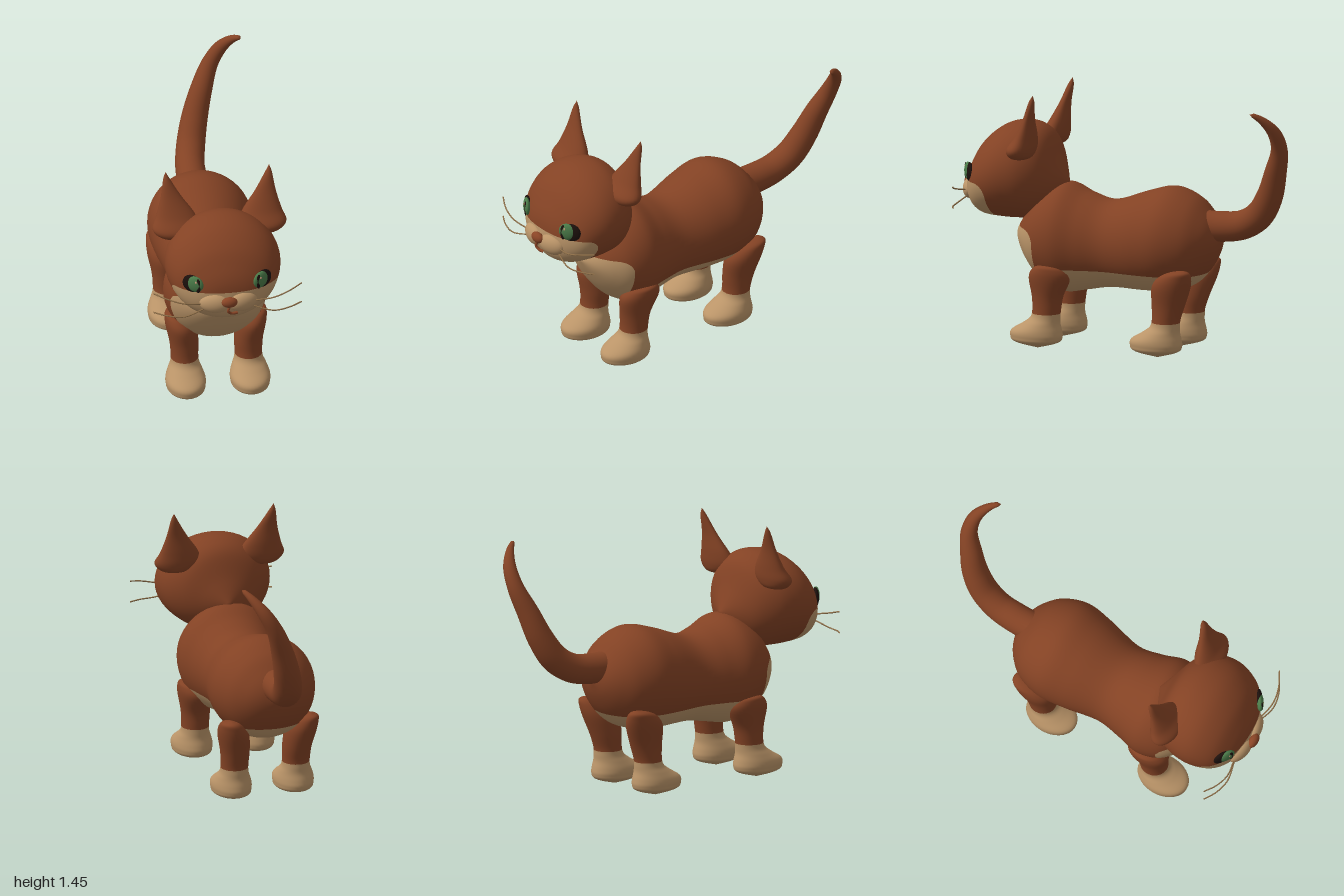
import * as THREE from 'three';
import { mergeVertices } from 'three/addons/utils/BufferGeometryUtils.js';

const material = (name, color) => {
  const m = new THREE.MeshStandardMaterial({ color });
  m.name = name;
  return m;
};

// Smooth elliptical loft. Each ring is [position on axis, x0, x1, b0, b1],
// where b is y for a loft along z, and z for a loft along y.
function loft(axis, rings, mirror = 1, steps = 64, sides = 48) {
  const r = rings.map(([p, a0, a1, b0, b1]) => (mirror > 0 ? [p, a0, a1, b0, b1] : [p, -a1, -a0, b0, b1]));
  const spline = (i, j) =>
    new THREE.CatmullRomCurve3(r.map((q) => new THREE.Vector3(q[0], q[i], q[j])), false, 'catmullrom', 0.5);
  const across = spline(1, 2), other = spline(3, 4);
  const pos = [], index = [];
  for (let i = 0; i <= steps; i++) {
    const A = across.getPoint(i / steps), B = other.getPoint(i / steps);
    const ca = (A.y + A.z) / 2, ra = Math.max(0, (A.z - A.y) / 2);
    const cb = (B.y + B.z) / 2, rb = Math.max(0, (B.z - B.y) / 2);
    for (let j = 0; j < sides; j++) {
      const t = (j / sides) * Math.PI * 2;
      const x = ca + ra * Math.cos(t);
      if (axis === 'z') pos.push(x, cb + rb * Math.sin(t), A.x);
      else pos.push(x, A.x, cb - rb * Math.sin(t));
      if (i < steps) {
        const a = i * sides + j, b = i * sides + ((j + 1) % sides);
        index.push(a, b, a + sides, b, b + sides, a + sides);
      }
    }
  }
  let g = new THREE.BufferGeometry();
  g.setAttribute('position', new THREE.Float32BufferAttribute(pos, 3));
  g.setIndex(index);
  g = mergeVertices(g, 1e-5);
  g.computeVertexNormals();
  return g;
}

// Cuts a surface along f = 0 and returns the parts [f > 0, f < 0].
function split(geometry, f) {
  const g = geometry.toNonIndexed();
  const P = g.attributes.position, N = g.attributes.normal;
  return [1, -1].map((sign) => {
    const pos = [], nor = [];
    for (let i = 0; i < P.count; i += 3) {
      const tri = [0, 1, 2].map((k) => {
        const p = new THREE.Vector3().fromBufferAttribute(P, i + k);
        return { p, n: new THREE.Vector3().fromBufferAttribute(N, i + k), d: sign * f(p) };
      });
      const poly = [];
      tri.forEach((a, k) => {
        const b = tri[(k + 1) % 3];
        if (a.d >= 0) poly.push(a);
        if (a.d >= 0 !== b.d >= 0) {
          const t = a.d / (a.d - b.d);
          poly.push({ p: a.p.clone().lerp(b.p, t), n: a.n.clone().lerp(b.n, t).normalize() });
        }
      });
      for (let k = 1; k + 1 < poly.length; k++)
        for (const v of [poly[0], poly[k], poly[k + 1]]) {
          pos.push(v.p.x, v.p.y, v.p.z);
          nor.push(v.n.x, v.n.y, v.n.z);
        }
    }
    const out = new THREE.BufferGeometry();
    out.setAttribute('position', new THREE.Float32BufferAttribute(pos, 3));
    out.setAttribute('normal', new THREE.Float32BufferAttribute(nor, 3));
    return out;
  });
}

export function createModel() {
  const model = new THREE.Group();
  model.name = 'cat';
  const fur = material('brown fur', 0x834224);
  const cream = material('tan fur', 0xba9468);
  const noseMat = material('nose brown', 0x8a4526);
  const green = material('eye green', 0x4a7a48);
  const black = material('eye black', 0x1c100c);
  const glint = material('eye glint', 0xc89a78);
  const hair = material('whisker brown', 0x8f6f48);

  const add = (name, geometry, mat) => {
    const m = new THREE.Mesh(geometry, mat);
    m.name = name;
    model.add(m);
    return m;
  };
  const twoTone = (name, paleName, geometry, f) => {
    const [brown, pale] = split(geometry, f);
    add(name, brown, fur);
    add(paleName, pale, cream);
  };
  const ball = (name, mat, [x, y, z], [rx, ry, rz], turn = 0) => {
    const m = add(name, new THREE.SphereGeometry(1, 32, 20), mat);
    m.position.set(x, y, z);
    m.scale.set(rx, ry, rz);
    m.rotation.y = turn;
  };
  const tube = (name, mat, points, radius) =>
    add(name, new THREE.TubeGeometry(
      new THREE.CatmullRomCurve3(points.map((p) => new THREE.Vector3(...p))), 20, radius, 8), mat);
  // Symmetric ring: z, half width, bottom, top
  const ring = ([z, w, y0, y1]) => [z, -w, w, y0, y1];
  // Distance to a rounded corner: negative below y and in front of z
  const patch = (p, y, z, r) => Math.hypot(Math.max(p.y - y + r, 0), Math.max(z + r - p.z, 0)) - r;

  // Body with pale belly and chest
  const body = loft('z', [
    [-0.535, 0, 0.65, 0.65], [-0.51, 0.11, 0.56, 0.74], [-0.46, 0.19, 0.47, 0.815],
    [-0.38, 0.255, 0.39, 0.89], [-0.25, 0.292, 0.35, 0.935], [-0.1, 0.275, 0.34, 0.9],
    [0.1, 0.235, 0.343, 0.835], [0.25, 0.258, 0.318, 0.865], [0.38, 0.29, 0.3, 0.915],
    [0.5, 0.265, 0.355, 0.87], [0.58, 0.2, 0.445, 0.78], [0.64, 0.11, 0.545, 0.69],
    [0.68, 0, 0.63, 0.63],
  ].map(ring), 1, 72);
  twoTone('body', 'bellyAndChest', body, (p) => Math.min(p.y - 0.46, patch(p, 0.67, 0.495, 0.07)));

  // Head with pale lower face
  const head = loft('z', [
    [0.37, 0, 0.91, 0.91], [0.43, 0.13, 0.81, 1.04], [0.49, 0.23, 0.745, 1.18],
    [0.57, 0.295, 0.705, 1.235], [0.66, 0.32, 0.697, 1.242], [0.75, 0.315, 0.698, 1.215],
    [0.84, 0.275, 0.705, 1.145], [0.9, 0.205, 0.735, 1.055], [0.935, 0.12, 0.795, 0.975],
    [0.95, 0, 0.885, 0.885],
  ].map(ring), 1, 72);
  twoTone('head', 'lowerFace', head, (p) => patch(p, 0.92, 0.77, 0.07));

  // Lower leg, shared by all four
  const foot = [
    [0, 0.18, 0.18, 0.49, 0.49], [0.035, 0.085, 0.275, 0.37, 0.625],
    [0.065, 0.07, 0.291, 0.347, 0.648], [0.1, 0.07, 0.291, 0.35, 0.64],
    [0.14, 0.085, 0.275, 0.36, 0.575], [0.175, 0.099, 0.259, 0.36, 0.53],
    [0.22, 0.102, 0.256, 0.356, 0.517],
  ];
  const frontTop = [
    [0.3, 0.1, 0.262, 0.34, 0.52], [0.4, 0.11, 0.282, 0.292, 0.533],
    [0.45, 0.14, 0.285, 0.305, 0.51], [0.475, 0.18, 0.275, 0.345, 0.47], [0.485, 0.23, 0.23, 0.41, 0.41],
  ];
  const backTop = [
    [0.3, 0.1, 0.262, -0.39, -0.2], [0.4, 0.11, 0.282, -0.428, -0.205],
    [0.46, 0.14, 0.285, -0.44, -0.25], [0.495, 0.18, 0.275, -0.435, -0.32], [0.51, 0.23, 0.23, -0.4, -0.4],
  ];
  const backFoot = foot.map(([y, a, b, c, d]) => [y, a, b, c - 0.718, d - 0.718]);

  for (const s of [1, -1]) {
    const side = s > 0 ? 'left' : 'right';

    // Legs and paws
    for (const [end, rings] of [['Front', [...foot, ...frontTop]], ['Back', [...backFoot, ...backTop]]])
      twoTone(`${side}${end}Leg`, `${side}${end}Paw`, loft('y', rings, s, 55, 36), (p) => p.y - 0.2);

    // Ear
    add(`${side}Ear`, loft('y', [
      [1.07, 0.265, 0.265, 0.56, 0.56], [1.085, 0.17, 0.335, 0.505, 0.62],
      [1.13, 0.11, 0.375, 0.485, 0.637], [1.2, 0.135, 0.35, 0.48, 0.59],
      [1.3, 0.205, 0.322, 0.48, 0.54], [1.4, 0.265, 0.305, 0.468, 0.502],
      [1.445, 0.29, 0.29, 0.475, 0.475],
    ], s, 42, 32), fur);

    // Eye
    const turn = 0.55 * s;
    ball(`${side}EyeRim`, black, [0.2 * s, 0.965, 0.89], [0.055, 0.055, 0.02], turn);
    ball(`${side}Iris`, green, [0.184 * s, 0.97, 0.907], [0.05, 0.05, 0.02], turn);
    ball(`${side}Pupil`, black, [0.17 * s, 0.968, 0.927], [0.016, 0.045, 0.007], turn);
    ball(`${side}EyeGlint`, glint, [0.182 * s, 0.99, 0.926], [0.007, 0.009, 0.004], turn);

    // Muzzle and whiskers
    ball(`${side}Muzzle`, cream, [0.08 * s, 0.853, 0.935], [0.084, 0.058, 0.042], 0.25 * s);
    tube(`${side}UpperWhisker`, hair,
      [[0.13 * s, 0.85, 0.93], [0.25 * s, 0.875, 0.953], [0.34 * s, 0.9, 0.935], [0.415 * s, 0.92, 0.895]], 0.004);
    tube(`${side}LowerWhisker`, hair,
      [[0.13 * s, 0.82, 0.93], [0.25 * s, 0.79, 0.953], [0.34 * s, 0.792, 0.935], [0.415 * s, 0.797, 0.895]], 0.004);
  }

  // Nose and mouth
  ball('nose', noseMat, [0, 0.876, 0.974], [0.045, 0.031, 0.026]);
  tube('mouth', noseMat,
    [[0, 0.85, 0.975], [-0.008, 0.822, 0.978], [0.01, 0.803, 0.972], [0.045, 0.801, 0.965]], 0.008);

  // Tapered tail: x, y, z, radius
  const tailPoints = [
    [0, 0.73, -0.42, 0.085], [0, 0.73, -0.55, 0.085], [0.005, 0.75, -0.67, 0.082],
    [0.025, 0.815, -0.775, 0.08], [0.055, 0.93, -0.85, 0.074], [0.1, 1.08, -0.905, 0.062],
    [0.155, 1.22, -0.95, 0.047], [0.215, 1.325, -0.945, 0.037], [0.275, 1.405, -0.895, 0.022],
    [0.31, 1.44, -0.845, 0.01], [0.313, 1.441, -0.838, 0],
  ];
  const path = new THREE.CatmullRomCurve3(tailPoints.map(([x, y, z]) => new THREE.Vector3(x, y, z)));
  const radii = new THREE.CatmullRomCurve3(tailPoints.map((p) => new THREE.Vector3(p[3], 0, 0)), false, 'catmullrom');
  const tail = new THREE.TubeGeometry(path, 60, 1, 28);
  const P = tail.attributes.position, v = new THREE.Vector3();
  for (let i = 0; i < P.count; i++) {
    const u = Math.floor(i / 29) / 60, c = path.getPointAt(u);
    const r = Math.max(0, radii.getPoint(path.getUtoTmapping(u)).x);
    v.fromBufferAttribute(P, i).sub(c).multiplyScalar(r).add(c);
    P.setXYZ(i, v.x, v.y, v.z);
  }
  tail.deleteAttribute('normal');
  tail.deleteAttribute('uv');
  const smoothTail = mergeVertices(tail, 1e-5);
  smoothTail.computeVertexNormals();
  add('tail', smoothTail, fur);

  return model;
}
